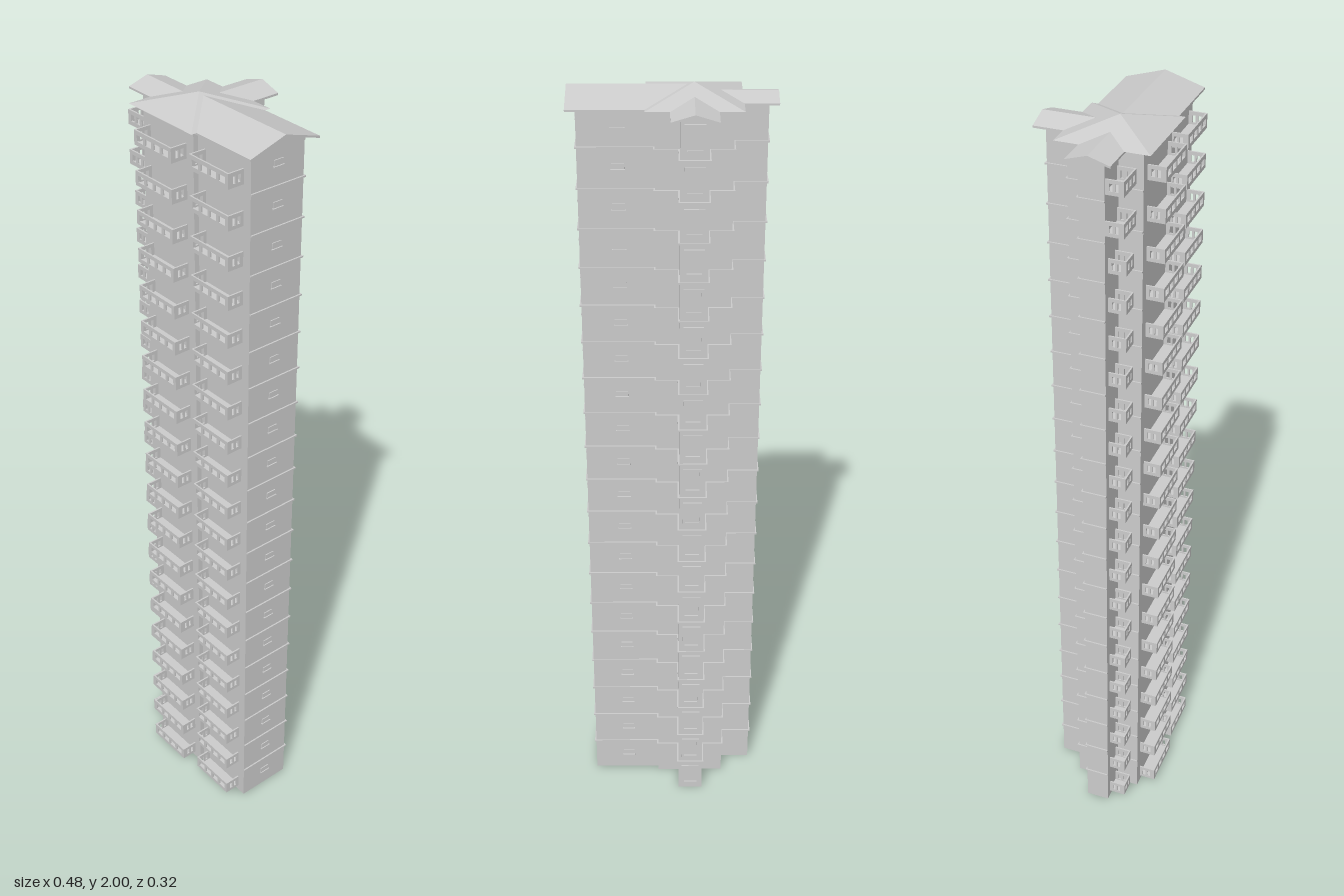
import * as THREE from 'three';
import { mergeGeometries } from 'three/addons/utils/BufferGeometryUtils.js';

const FLOORS = 20, STOREY = 0.0985;
const EAVE = 1.966, SLOPE = 0.303, OVERHANG = 0.022;
const CX = -0.05, CZ = 0.0235; // centre of the main block
const MAIN = 0.1125; // half width of the main roof

const material = new THREE.MeshStandardMaterial({ color: 0xcccccc, flatShading: true, side: THREE.DoubleSide });

function add(parent, name, geometry) {
  const mesh = new THREE.Mesh(geometry, material);
  mesh.name = name;
  parent.add(mesh);
  return mesh;
}

function box(w, h, d, x, y, z) {
  return new THREE.BoxGeometry(w, h, d).translate(x, y, z);
}

// Cross-shaped plan as shape points (shape y is -z); o pushes the side and back walls outward
function plan(o) {
  return [
    [-0.22 - o, 0.054], [-0.14 - o, 0.054], [-0.14 - o, 0.113], [0.04 + o, 0.113], [0.04 + o, 0.1], [0.219 + o, 0.1],
    [0.219 + o, -0.051 - o], [0.04 + o, -0.051 - o], [0.04 + o, -0.066 - o], [-0.017 + o, -0.066 - o],
    [-0.017 + o, -0.14 - o], [-0.083 - o, -0.14 - o], [-0.083 - o, -0.066 - o], [-0.14 - o, -0.066 - o],
    [-0.14 - o, -0.008 - o], [-0.22 - o, -0.008 - o],
  ].map(([x, z]) => new THREE.Vector2(x, -z));
}

function slab(points, hole, y, height) {
  const shape = new THREE.Shape(points);
  if (hole) shape.holes.push(new THREE.Path(hole));
  return new THREE.ExtrudeGeometry(shape, { depth: height, bevelEnabled: false })
    .rotateX(-Math.PI / 2).translate(0, y, 0);
}

// Upright panel with a row of n openings, centred on x, standing on y = 0
function panel(w, h, t, n, border, gap) {
  const shape = new THREE.Shape([[-w / 2, 0], [w / 2, 0], [w / 2, h], [-w / 2, h]].map(p => new THREE.Vector2(...p)));
  const hw = (w - 2 * border - (n - 1) * gap) / n;
  for (let i = 0; i < n; i++) {
    const a = -w / 2 + border + i * (hw + gap), b = a + hw;
    shape.holes.push(new THREE.Path(
      [[a, border], [a, h - border], [b, h - border], [b, border]].map(p => new THREE.Vector2(...p))));
  }
  return new THREE.ExtrudeGeometry(shape, { depth: t, bevelEnabled: false });
}

// Balcony from x0 to x1, projecting from the wall at z
function balcony(x0, x1, z, n) {
  const w = x1 - x0, d = 0.044, h = 0.036, t = 0.004, mid = (x0 + x1) / 2;
  const side = x => panel(d - t, h, t, 2, 0.009, 0.006).rotateY(Math.PI / 2).translate(x, 0, z + (d - t) / 2);
  return mergeGeometries([
    panel(w, h, t, n, 0.01, 0.008).translate(mid, 0, z + d - t),
    side(x0), side(x1 - t),
    box(w - 2 * t, 0.005, d - t, mid, 0.0025, z + (d - t) / 2).toNonIndexed(),
  ]);
}

// Gabled wing: roof sheet and the attic wall under it, running from the centre outward along +z
function wing(parent, name, half, reach, angle) {
  const group = new THREE.Group();
  group.name = name;
  group.position.set(CX, 0, CZ);
  group.rotation.y = angle;
  const start = MAIN - half, t = 0.005, top = EAVE + half * SLOPE, wall = half - OVERHANG;
  const extrude = (pts, from, to) => new THREE.ExtrudeGeometry(
    new THREE.Shape(pts.map(p => new THREE.Vector2(...p))), { depth: to - from, bevelEnabled: false }).translate(0, 0, from);
  add(group, 'gableRoof', extrude(
    [[-half, EAVE - t], [0, top - t], [half, EAVE - t], [half, EAVE], [0, top], [-half, EAVE]], start, reach));
  const shoulder = EAVE + OVERHANG * SLOPE - t;
  add(group, 'gableWall', extrude(
    [[-wall, EAVE - 0.01], [wall, EAVE - 0.01], [wall, shoulder], [0, top - t], [-wall, shoulder]], start, reach - OVERHANG));
  parent.add(group);
}

export function createModel() {
  const model = new THREE.Group();
  model.name = 'towerBlock';

  // Hollow outer walls, open at the foot
  add(model, 'outerWalls', slab(plan(0), plan(-0.004), 0, EAVE));

  // Storeys: floor slab with a projecting ledge, balconies, windows
  const leftNarrow = balcony(-0.203, -0.157, 0.054, 2);
  const leftWide = balcony(-0.219, -0.145, 0.054, 3);
  const centre = balcony(-0.118, 0.016, 0.113, 4);
  const right = balcony(0.063, 0.196, 0.1, 4);
  const ledge = slab(plan(0.004), null, -0.002, 0.004);
  const backWindow = panel(0.048, 0.066, 0.004, 1, 0.006, 0).translate(CX, 0.018, -0.144);
  const smallWindows = mergeGeometries([
    box(0.03, 0.014, 0.003, 0.125, 0.055, -0.052),
    box(0.034, 0.003, 0.006, 0.125, 0.046, -0.053),
    box(0.003, 0.014, 0.026, 0.22, 0.055, CZ),
    box(0.006, 0.003, 0.03, 0.221, 0.046, CZ),
  ]);
  for (let i = 0; i < FLOORS; i++) {
    const storey = new THREE.Group();
    storey.name = `storey${i + 1}`;
    storey.position.y = i * STOREY;
    if (i > 0) add(storey, 'floorLedge', ledge);
    const wide = i >= FLOORS - 2;
    add(storey, 'leftBalcony', wide ? leftWide : leftNarrow).position.y = 0.017;
    add(storey, 'centreBalcony', centre).position.y = 0.017;
    add(storey, 'rightBalcony', right).position.y = 0.017;
    add(storey, 'backWindowFrame', backWindow);
    add(storey, 'smallWindows', smallWindows);
    model.add(storey);
  }

  // Roof: a low pyramid over the middle and three gabled wings
  const rise = 2 - EAVE;
  add(model, 'mainRoof', new THREE.ConeGeometry(MAIN * Math.SQRT2, rise, 4, 1, true)
    .rotateY(Math.PI / 4).translate(CX, EAVE + rise / 2, CZ));
  wing(model, 'rightWingRoof', 0.0975, 0.2915, Math.PI / 2);
  wing(model, 'leftWingRoof', 0.0525, 0.1925, -Math.PI / 2);
  wing(model, 'backWingRoof', 0.055, 0.1855, Math.PI);

  return model;
}
